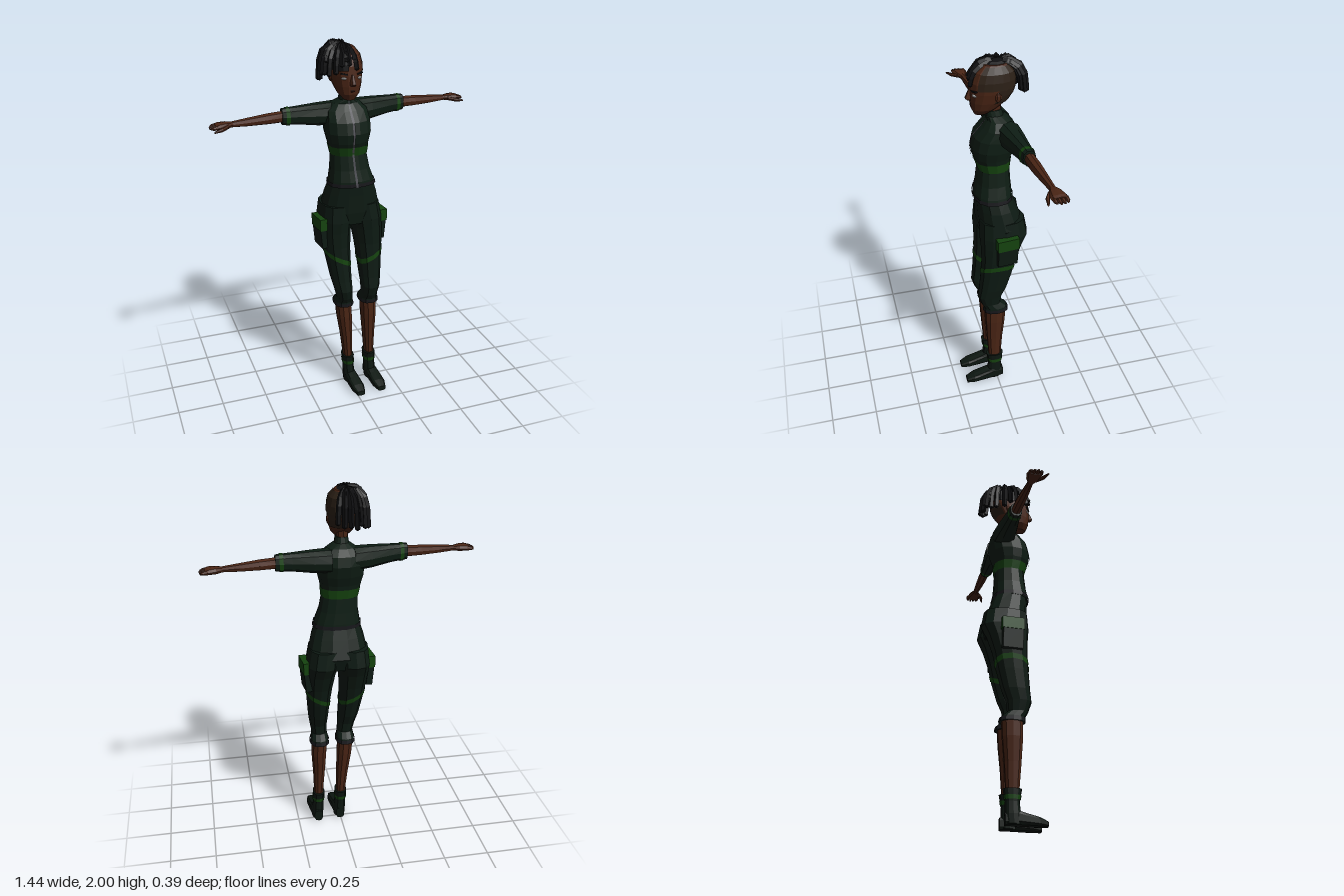
import * as THREE from 'three';

const mat = (color) => new THREE.MeshStandardMaterial({ color, flatShading: true, roughness: 1, side: THREE.DoubleSide });
const M = {
  cloth: mat(0x0e1d14), trousers: mat(0x0d1a13), green: mat(0x15430f), belt: mat(0x16161a), boot: mat(0x0d1711),
  skin: mat(0x4a2515), lips: mat(0x32150f), shaved: mat(0x2c2016), hair: mat(0x0f0f11), zip: mat(0x4a4a50), eye: mat(0xcccccc),
};

// Ring = [t, u, v, ru, rv]: position along the axis, centre and radii across it.
const AXES = { y: (t, u, v) => [u, t, v], x: (t, u, v) => [t, v, u], z: (t, u, v) => [v, u, t] };

function ringPoint(r, a, axis, grow = 0, square = 0.85) {
  const c = Math.cos(a), s = Math.sin(a);
  const p = (k) => Math.sign(k) * Math.abs(k) ** square;
  return AXES[axis](r[0], r[1] + (r[3] + grow) * p(c), r[2] + (r[4] + grow) * p(s));
}

function ringAt(rings, t) {
  for (let i = 0; i < rings.length - 1; i++) {
    const a = rings[i], b = rings[i + 1];
    if ((t - a[0]) * (t - b[0]) <= 0) return a.map((k, j) => k + (b[j] - k) * (t - a[0]) / (b[0] - a[0]));
  }
  return rings[rings.length - 1];
}

// Skin a grid of points; closed grids wrap around and may be capped
function grid(rows, cols, point, { closed = true, caps = true, flip = false } = {}) {
  const pos = [], idx = [];
  const tri = (a, b, c) => (flip ? idx.push(a, c, b) : idx.push(a, b, c));
  for (let i = 0; i < rows; i++) for (let j = 0; j < cols; j++) pos.push(...point(i, j));
  for (let i = 0; i < rows - 1; i++) for (let j = 0; j < (closed ? cols : cols - 1); j++) {
    const k = (j + 1) % cols, a = i * cols, b = a + cols;
    tri(a + j, b + j, a + k);
    tri(a + k, b + j, b + k);
  }
  if (closed && caps) for (const i of [0, rows - 1]) {
    const mid = [0, 0, 0], c = pos.length / 3;
    for (let j = 0; j < cols; j++) for (let d = 0; d < 3; d++) mid[d] += pos[(i * cols + j) * 3 + d] / cols;
    pos.push(...mid);
    for (let j = 0; j < cols; j++) {
      const a = i * cols + j, b = i * cols + (j + 1) % cols;
      i ? tri(c, b, a) : tri(c, a, b);
    }
  }
  const g = new THREE.BufferGeometry();
  g.setAttribute('position', new THREE.Float32BufferAttribute(pos, 3));
  g.setIndex(idx);
  g.computeVertexNormals();
  return g;
}

function add(group, name, geometry, material, at = [0, 0, 0]) {
  const m = new THREE.Mesh(geometry, material);
  m.name = name;
  m.position.set(...at);
  group.add(m);
  return m;
}

const loft = (rings, axis = 'y', n = 12, square) => grid(rings.length, n,
  (i, j) => ringPoint(rings[i], j / n * Math.PI * 2, axis, 0, square), { flip: rings[0][0] > rings[rings.length - 1][0] });

// Strip hugging a loft between t0 and t1, optionally tilted
const band = (rings, t0, t1, axis = 'y', grow = 0.003, tilt = () => 0, n = 12) => grid(2, n, (i, j) => {
  const a = j / n * Math.PI * 2;
  return ringPoint(ringAt(rings, (i ? t1 : t0) + tilt(a)), a, axis, grow);
}, { caps: false, flip: t0 > t1 });

// Open patch hugging a loft over a range of angles
const patch = (rings, ts, angles, grow) => grid(ts.length, angles.length,
  (i, j) => ringPoint(ringAt(rings, ts[i]), angles[j], 'y', grow), { closed: false });

const range = (a, b, n) => Array.from({ length: n }, (_, i) => a + (b - a) * i / (n - 1));

const TORSO = [[1.25, .02, 0, .128, .1], [1.28, .018, 0, .122, .099], [1.34, .012, -.004, .106, .09], [1.43, .005, -.008, .096, .082],
  [1.49, 0, 0, .11, .1], [1.54, 0, -.005, .122, .113], [1.6, 0, -.018, .122, .113], [1.65, 0, -.035, .115, .085],
  [1.685, 0, -.035, .075, .058], [1.705, -.003, -.018, .038, .043], [1.735, -.005, -.012, .033, .041]];
const PELVIS = [[1.03, .022, -.03, .13, .105], [1.1, .022, -.035, .166, .122], [1.2, .02, -.015, .142, .106], [1.27, .018, 0, .118, .096]];
const HEAD = [[1.718, -.01, .05, .028, .035], [1.75, -.01, .035, .055, .066], [1.79, -.01, .012, .069, .095], [1.84, -.01, -.005, .078, .112],
  [1.89, -.01, -.01, .08, .113], [1.94, -.01, -.016, .069, .099], [1.975, -.01, -.02, .042, .06]];
// Limb rings hold the sideways distance from the midline
const LEG = [[.53, .074, .005, .052, .069], [.555, .074, .008, .05, .065], [.585, .074, .034, .043, .056], [.64, .08, .039, .049, .069],
  [.7, .085, .022, .056, .078], [.8, .09, .003, .064, .088], [.9, .092, -.012, .074, .096], [.99, .09, -.027, .082, .113],
  [1.05, .085, -.04, .088, .131], [1.14, .075, -.035, .085, .12]];
const SHIN = [[.16, .065, .011, .025, .035], [.32, .068, .011, .034, .046], [.45, .073, .008, .043, .056], [.55, .075, .005, .044, .058]];
const BOOT = [[.01, .065, .018, .032, .044], [.06, .065, .014, .033, .043], [.12, .065, .011, .031, .038], [.185, .065, .011, .034, .05]];
const FOOT = [[-.027, .035, 0, .034, .024], [.03, .043, 0, .042, .033], [.09, .034, 0, .033, .036], [.15, .026, 0, .025, .037], [.195, .017, 0, .015, .024]];
const SLEEVE = [[.06, 0, 1.625, .066, .062], [.15, 0, 1.628, .057, .058], [.26, 0, 1.635, .041, .047], [.345, 0, 1.637, .032, .042]];
const FOREARM = [[.32, 0, 1.637, .025, .03], [.42, 0, 1.635, .027, .028], [.52, 0, 1.632, .021, .022], [.62, 0, 1.63, .014, .014]];
const PALM = [[.6, 0, 1.63, .015, .013], [.635, 0, 1.63, .032, .018], [.675, 0, 1.63, .042, .016], [.69, 0, 1.628, .04, .012]];

function buildLeg(side) {
  const leg = new THREE.Group();
  leg.name = side > 0 ? 'leftLeg' : 'rightLeg';
  const mid = (y) => .07 - .046 * y;
  const place = (rings) => rings.map(([t, u, ...r]) => [t, mid(t) + side * u, ...r]);
  const trouser = place(LEG), boot = place(BOOT), slant = (a) => .04 * side * Math.cos(a);
  add(leg, 'trouserLeg', loft(trouser), M.trousers);
  add(leg, 'thighStripe', band(trouser, .812, .84, 'y', .003, slant), M.green);
  add(leg, 'trouserCuff', band(trouser, .53, .55, 'y', .004), M.belt);
  add(leg, 'shin', loft(place(SHIN), 'y', 10), M.skin);
  add(leg, 'bootShaft', loft(boot), M.boot);
  add(leg, 'bootStripe', band(boot, .13, .152), M.green);
  add(leg, 'foot', loft(FOOT.map(([t, u, , a, b]) => [t - (side > 0 ? .008 : 0), u, mid(0) + side * .065 + t * .06, a, b]), 'z', 10, .65), M.boot);
  // Cargo pocket
  const x = .022 + side * .178, z = side > 0 ? -.04 : -.01;
  const flap = add(leg, 'pocketFlap', new THREE.BoxGeometry(.04, .066, .12), M.green, [x, 1.038, z]);
  const bag = add(leg, 'pocketBag', new THREE.BoxGeometry(.035, .11, .11), M.trousers, [x - side * .006, .955, z]);
  flap.rotation.y = bag.rotation.y = .1;
  bag.rotation.z = -side * .1;
  return leg;
}

function buildArm(side) {
  const arm = new THREE.Group();
  arm.name = side > 0 ? 'leftArm' : 'rightArm';
  const place = (rings) => rings.map(([s, u, ...r]) => [side * s, -.06 - .11 * side * s + u, ...r]);
  const sleeve = place(SLEEVE);
  add(arm, 'sleeve', loft(sleeve, 'x', 10), M.cloth);
  add(arm, 'sleeveStripe', band(sleeve, side * .305, side * .325, 'x', .003, undefined, 10), M.green);
  add(arm, 'forearm', loft(place(FOREARM), 'x', 8), M.skin);
  add(arm, 'palm', loft(place(PALM), 'x', 8), M.skin);
  for (let i = 0; i < 4; i++) {
    const z = -.029 + i * .019, tip = .722 - Math.abs(i - 1.6) * .006;
    add(arm, 'finger', loft(place([[.672, z, 1.629, .011, .011], [.7, z, 1.627, .01, .009], [tip, z * .9, 1.625, .006, .005]]), 'x', 6), M.skin);
  }
  add(arm, 'thumb', loft(place([[.625, .02, 1.628, .012, .011], [.66, .046, 1.622, .011, .01], [.705, .062, 1.617, .005, .005]]), 'x', 6), M.skin);
  return arm;
}

function buildHead() {
  const head = new THREE.Group();
  head.name = 'head';
  add(head, 'skull', loft(HEAD, 'y', 14), M.skin);
  add(head, 'neck', loft([[1.68, -.005, -.015, .029, .036], [1.78, -.008, -.012, .032, .042]], 'y', 8), M.skin);
  add(head, 'shavedSide', patch(HEAD, [1.86, 1.9, 1.94, 1.97], range(-1.6, .8, 8), .003), M.shaved);
  add(head, 'shavedNape', patch(HEAD, [1.79, 1.83, 1.86], range(-2.6, -.1, 8), .003), M.shaved);
  // Nose wedge, eyes, brows and mouth
  add(head, 'nose', loft([[1.795, -.008, .098, .016, .022], [1.806, -.008, .106, .016, .026], [1.85, -.008, .1, .007, .012]], 'y', 6), M.skin);
  for (const s of [-1, 1]) {
    const eye = add(head, 'eye', new THREE.SphereGeometry(1, 8, 6), M.eye, [-.008 + s * .04, 1.832, .091]);
    eye.scale.set(.016, .007, .01);
    eye.rotation.y = s * .4;
    const brow = add(head, 'brow', new THREE.BoxGeometry(.036, .007, .012), M.hair, [-.008 + s * .04, 1.854, .092]);
    brow.rotation.set(0, s * .4, s * .15);
    const ear = add(head, 'ear', new THREE.SphereGeometry(1, 7, 5), M.skin, [-.01 + s * .075, 1.825, -.02]);
    ear.scale.set(.01, .026, .017);
  }
  const lips = add(head, 'lips', new THREE.SphereGeometry(1, 8, 5), M.lips, [-.008, 1.768, .094]);
  lips.scale.set(.022, .008, .012);
  return head;
}

function buildHair() {
  const hair = new THREE.Group();
  hair.name = 'hair';
  let seed = 7;
  const jit = (k) => ((seed = (seed * 16807) % 2147483647) / 2147483647 - .5) * 2 * k;
  add(hair, 'hairCap', patch(HEAD, [1.87, 1.9, 1.94, 1.975], range(1.75, 5.1, 12), .012), M.hair);
  const crown = add(hair, 'hairCrown', new THREE.SphereGeometry(1, 10, 6), M.hair, [-.022, 1.952, -.025]);
  crown.scale.set(.062, .036, .09);
  // Layers of locks fanning from the crown: [count, reach, end height, thickness]
  for (const [count, reach, drop, r] of [[15, 1, 1.815, .014], [13, .9, 1.86, .015], [11, .8, 1.91, .015]]) {
    for (let i = 0; i < count; i++) {
      const a = 1.35 + (5.25 - 1.35) * i / (count - 1) + jit(.06), c = Math.cos(a), s = Math.sin(a);
      const k = reach + jit(.05), front = Math.max(0, s);
      const end = Math.min(drop + front * .075 + jit(.02), 1.93);
      const at = (rx, y, rz) => new THREE.Vector3(-.02 + rx * c, y, -.035 + rz * s);
      const path = new THREE.CatmullRomCurve3([
        at(.012, 1.98, .03), at(.066 * k, 1.972 + jit(.008), .085 * k),
        at(.098 * k, 1.93 + jit(.008), .125 * k), at(.112 * k, end, .141 * k)]);
      add(hair, 'lock', new THREE.TubeGeometry(path, 5, r, 4), M.hair);
      const tip = add(hair, 'lockTip', new THREE.OctahedronGeometry(r), M.hair, path.getPoint(1).toArray());
      tip.scale.y = .7;
    }
  }
  return hair;
}

export function createModel() {
  const model = new THREE.Group();
  model.name = 'figure';
  // Jacket and trousers
  add(model, 'jacket', loft(TORSO, 'y', 14), M.cloth);
  add(model, 'chestStripe', band(TORSO, 1.42, 1.468, 'y', .003, undefined, 14), M.green);
  add(model, 'belt', band(TORSO, 1.252, 1.272, 'y', .005, undefined, 14), M.belt);
  add(model, 'zip', patch(TORSO, TORSO.map((r) => r[0]), [1.54, 1.6], .005), M.zip);
  add(model, 'pelvis', loft(PELVIS, 'y', 14), M.trousers);
  for (const side of [-1, 1]) model.add(buildLeg(side), buildArm(side));
  model.add(buildHead(), buildHair());
  return model;
}
